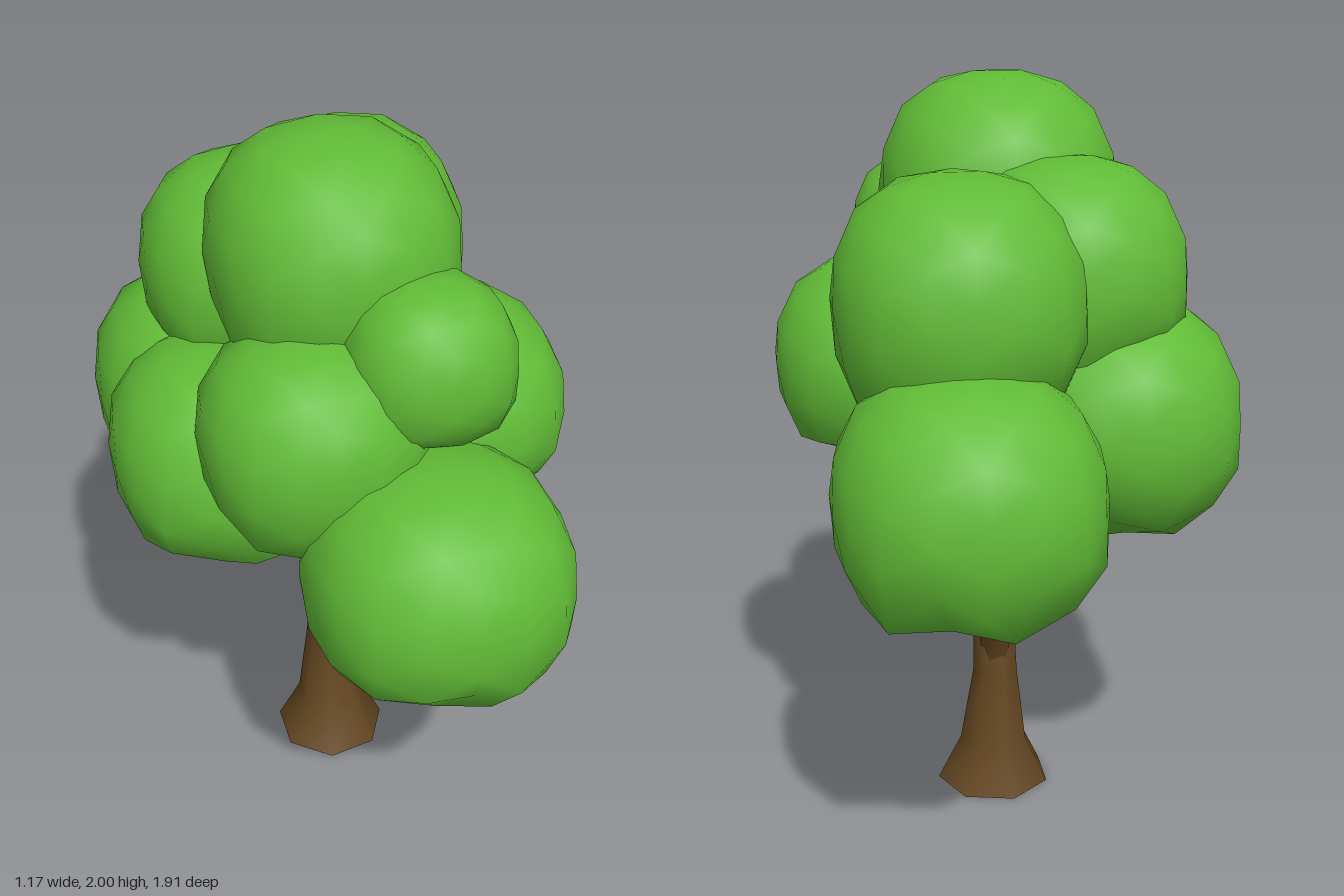
import * as THREE from 'three';
import { mergeVertices } from 'three/addons/utils/BufferGeometryUtils.js';

const leafGreen = new THREE.MeshStandardMaterial({ color: 0x61bb36 });
leafGreen.name = 'leafGreen';
const barkBrown = new THREE.MeshStandardMaterial({ color: 0x644621 });
barkBrown.name = 'barkBrown';

function seeded(seed) {
  return () => {
    seed = (seed * 16807) % 2147483647;
    return seed / 2147483647;
  };
}

// Coarse, slightly boxy leaf clump with a squarer, ragged underside
function clump(name, [x, y, z], [rx, ry, rz], seed) {
  let geo = new THREE.IcosahedronGeometry(1, 2);
  geo.deleteAttribute('normal');
  geo.deleteAttribute('uv');
  geo = mergeVertices(geo, 1e-3);
  const rand = seeded(seed);
  const pos = geo.attributes.position;
  const v = new THREE.Vector3();
  for (let i = 0; i < pos.count; i++) {
    v.fromBufferAttribute(pos, i);
    const power = v.y < 0 ? 2.6 : 2.35;
    const sum = Math.abs(v.x) ** power + Math.abs(v.y) ** power + Math.abs(v.z) ** power;
    v.multiplyScalar(sum ** (-1 / power));
    const jitter = rand() - 0.5;
    if (v.y < -0.35) v.y += jitter * 0.2;
    pos.setXYZ(i, v.x * rx, v.y * ry, v.z * rz);
  }
  geo.computeVertexNormals();
  const mesh = new THREE.Mesh(geo, leafGreen);
  mesh.name = name;
  mesh.position.set(x, y, z);
  return mesh;
}

// Tapered limb through points [x, y, z, radius], with flat end caps
function limb(name, points, sides, level = false) {
  const verts = [];
  const index = [];
  const up = new THREE.Vector3(0, 1, 0);
  const centres = points.map((p) => new THREE.Vector3(p[0], p[1], p[2]));
  const rings = centres.map((c, i) => {
    const a = centres[Math.max(i - 1, 0)];
    const b = centres[Math.min(i + 1, centres.length - 1)];
    const q = new THREE.Quaternion();
    if (!level) q.setFromUnitVectors(up, b.clone().sub(a).normalize());
    return Array.from({ length: sides }, (_, k) => {
      const t = (k / sides) * Math.PI * 2;
      return new THREE.Vector3(Math.cos(t), 0, Math.sin(t))
        .multiplyScalar(points[i][3]).applyQuaternion(q).add(c);
    });
  });
  rings.forEach((ring) => ring.forEach((p) => verts.push(p.x, p.y, p.z)));
  for (let i = 0; i < rings.length - 1; i++) {
    for (let k = 0; k < sides; k++) {
      const a = i * sides + k;
      const b = i * sides + ((k + 1) % sides);
      index.push(a, a + sides, b, b, a + sides, b + sides);
    }
  }
  // Caps use their own vertices so their rims stay sharp
  [0, rings.length - 1].forEach((r) => {
    const base = verts.length / 3;
    rings[r].forEach((p) => verts.push(p.x, p.y, p.z));
    for (let k = 1; k < sides - 1; k++) {
      if (r === 0) index.push(base, base + k, base + k + 1);
      else index.push(base, base + k + 1, base + k);
    }
  });
  const geo = new THREE.BufferGeometry();
  geo.setAttribute('position', new THREE.Float32BufferAttribute(verts, 3));
  geo.setIndex(index);
  geo.computeVertexNormals();
  const mesh = new THREE.Mesh(geo, barkBrown);
  mesh.name = name;
  return mesh;
}

export function createModel() {
  const tree = new THREE.Group();
  tree.name = 'tree';

  // Trunk and forked branches
  const wood = new THREE.Group();
  wood.name = 'wood';
  wood.add(
    limb('trunk', [
      [0.015, 0, -0.02, 0.16], [0.015, 0.13, -0.025, 0.095], [0.012, 0.35, -0.04, 0.063],
      [0.012, 0.52, -0.015, 0.057], [0.012, 0.68, 0.04, 0.048], [0.005, 0.92, 0.04, 0.045],
    ], 7, true),
    limb('backBranch', [
      [0.012, 0.38, -0.04, 0.045], [0.02, 0.52, -0.09, 0.042], [0.04, 0.69, -0.23, 0.034],
      [0.08, 0.84, -0.5, 0.022], [0.09, 0.92, -0.6, 0.018],
    ], 6),
    limb('backTwig', [[0.04, 0.66, -0.22, 0.028], [0.03, 0.78, -0.25, 0.022], [0, 1.0, -0.28, 0.018]], 6),
    limb('frontBranch', [
      [0.012, 0.48, -0.03, 0.035], [0.02, 0.58, 0.08, 0.036], [0.03, 0.66, 0.2, 0.032],
      [0.06, 0.82, 0.32, 0.022], [0.08, 0.95, 0.4, 0.018],
    ], 6),
    limb('frontTwig', [[0.03, 0.65, 0.2, 0.024], [0, 0.75, 0.23, 0.019], [-0.03, 0.95, 0.27, 0.016]], 6),
    limb('upperTwig', [[0.01, 0.8, 0.02, 0.022], [0.01, 0.9, -0.08, 0.019], [0.02, 1.05, -0.22, 0.016]], 6),
  );

  // Leaf clumps: name, centre, radii
  const leaves = new THREE.Group();
  leaves.name = 'leaves';
  [
    ['topClump', [-0.01, 1.69, 0.07], [0.31, 0.31, 0.33]],
    ['upperBackClump', [0.15, 1.5, -0.36], [0.31, 0.31, 0.33]],
    ['upperSideClump', [-0.14, 1.53, -0.22], [0.3, 0.29, 0.3]],
    ['lowerBackClump', [0.165, 1.09, -0.62], [0.325, 0.31, 0.34]],
    ['lowerFrontClump', [0.105, 1.09, 0.62], [0.325, 0.29, 0.335]],
    ['frontUnderClump', [0.12, 0.95, 0.48], [0.21, 0.23, 0.23]],
    ['leftClump', [0.29, 1.25, 0.1], [0.3, 0.27, 0.33]],
    ['rightClump', [-0.28, 1.16, 0.06], [0.31, 0.29, 0.33]],
    ['rightBackClump', [-0.27, 1.17, -0.25], [0.31, 0.3, 0.34]],
    ['smallFrontClump', [0.14, 1.54, 0.39], [0.21, 0.21, 0.21]],
    ['middleFrontClump', [-0.13, 1.36, 0.35], [0.28, 0.26, 0.28]],
    ['coreClump', [0, 1.24, 0], [0.34, 0.32, 0.4]],
  ].forEach(([name, centre, radii], i) => leaves.add(clump(name, centre, radii, 101 + i * 7919)));

  tree.add(wood, leaves);
  return tree;
}
